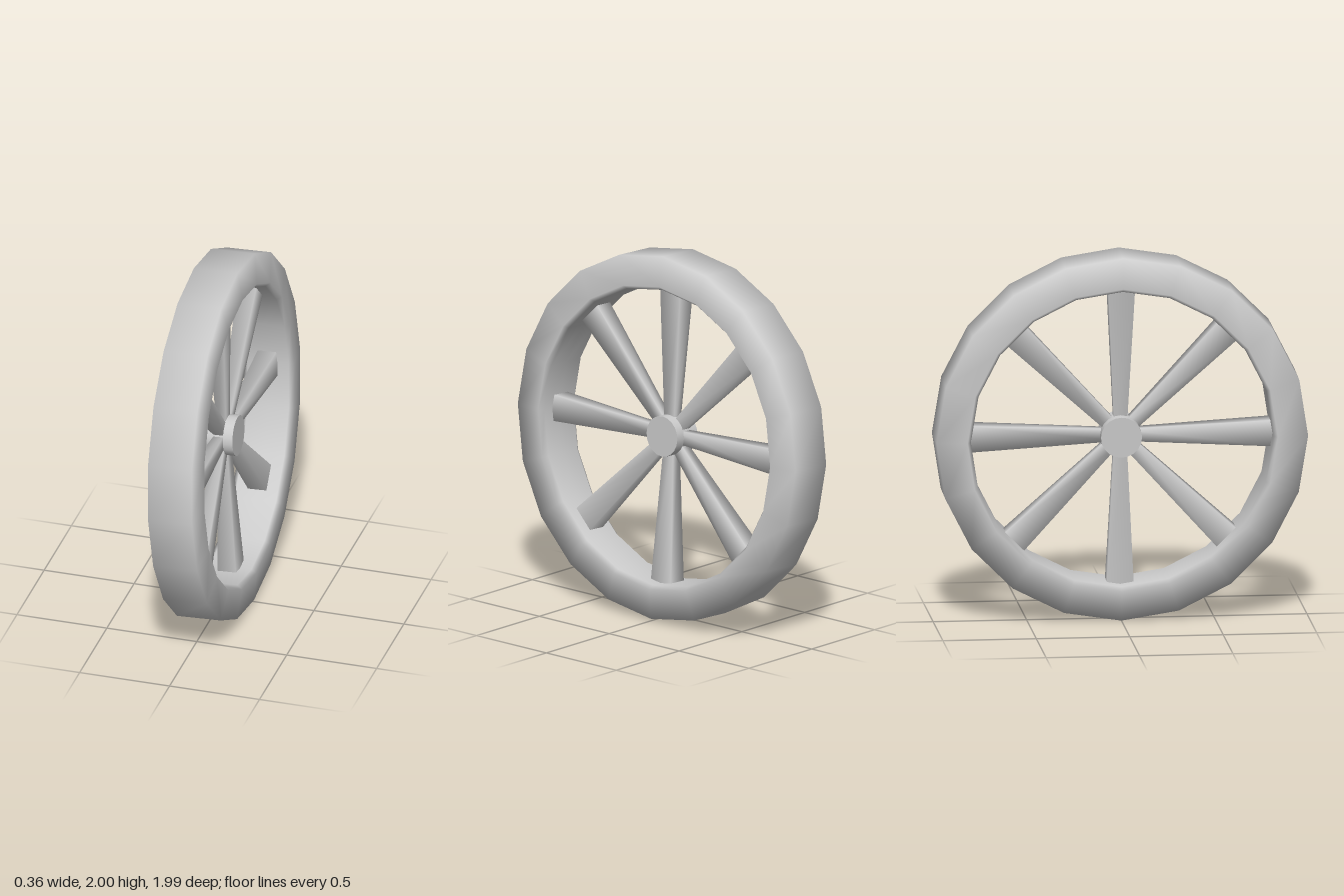
import * as THREE from 'three';

const material = new THREE.MeshStandardMaterial({ color: 0xcccccc });

function add(parent, name, geometry) {
  const mesh = new THREE.Mesh(geometry, material);
  mesh.name = name;
  parent.add(mesh);
  return mesh;
}

export function createModel() {
  const model = new THREE.Group();
  model.name = 'spokedWheel';

  // The wheel is built around the x axis and leans slightly to one side
  const wheel = new THREE.Group();
  wheel.name = 'wheel';
  wheel.position.set(0, 1.001, 0);
  wheel.rotation.z = 0.046;
  model.add(wheel);

  // Rim: closed section (radius, offset along the axle) turned in 20 steps
  const section = [
    [0.81, 0], [0.81, -0.115], [0.83, -0.142], [0.994, -0.122],
    [0.994, 0.122], [0.83, 0.142], [0.81, 0.115], [0.81, 0],
  ].map(([r, a]) => new THREE.Vector2(r, a));
  const rim = new THREE.LatheGeometry(section, 20);
  rim.rotateZ(-Math.PI / 2);
  add(wheel, 'rim', rim);

  // Hub: short disc on the axle
  const hub = new THREE.CylinderGeometry(0.11, 0.11, 0.16, 20);
  hub.rotateZ(Math.PI / 2);
  add(wheel, 'hub', hub);

  // Spokes: four-sided, widening from the hub to the rim
  const length = 0.83;
  const spoke = new THREE.CylinderGeometry(0.073 * Math.SQRT2, 0.032 * Math.SQRT2, length, 4);
  spoke.rotateY(Math.PI / 4);
  spoke.scale(0.72, 1, 1);
  spoke.translate(0, length / 2, 0);
  for (let i = 0; i < 8; i++) {
    add(wheel, 'spoke' + (i + 1), spoke).rotation.x = (i * Math.PI) / 4;
  }

  return model;
}
